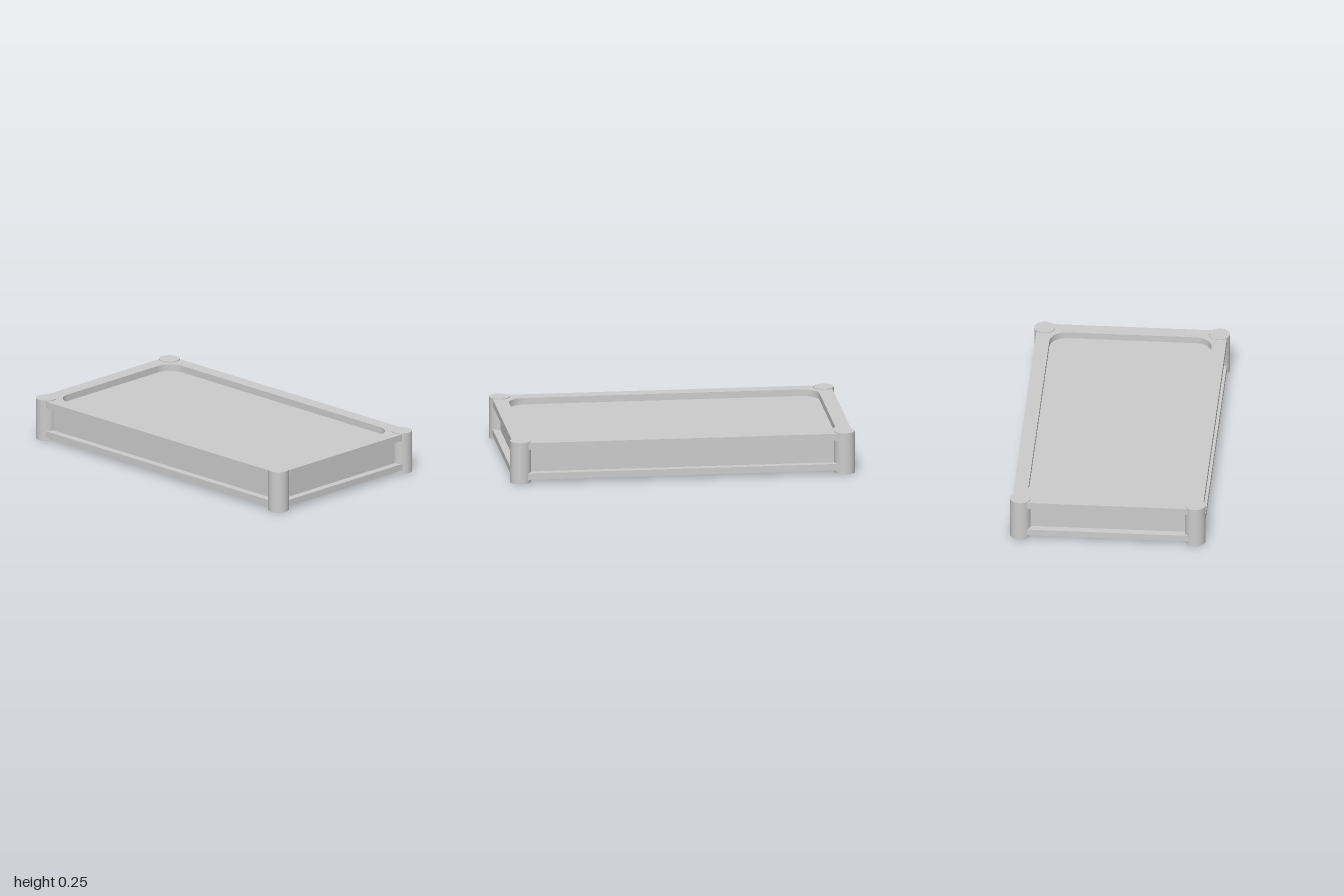
import * as THREE from 'three';

const material = new THREE.MeshStandardMaterial({ color: 0xcccccc });

// Rounded rectangle centred on the origin, given half sizes and corner radius
function roundedRect(target, hx, hy, r) {
  target.moveTo(-hx + r, -hy);
  target.lineTo(hx - r, -hy);
  target.absarc(hx - r, -hy + r, r, -Math.PI / 2, 0);
  target.lineTo(hx, hy - r);
  target.absarc(hx - r, hy - r, r, 0, Math.PI / 2);
  target.lineTo(-hx + r, hy);
  target.absarc(-hx + r, hy - r, r, Math.PI / 2, Math.PI);
  target.lineTo(-hx, -hy + r);
  target.absarc(-hx + r, -hy + r, r, Math.PI, Math.PI * 1.5);
  return target;
}

export function createModel() {
  const group = new THREE.Group();

  function add(name, geometry, x, y, z) {
    const mesh = new THREE.Mesh(geometry, material);
    mesh.name = name;
    mesh.position.set(x, y, z);
    group.add(mesh);
  }

  function box(name, x0, x1, y0, y1, z0, z1) {
    add(name, new THREE.BoxGeometry(x1 - x0, y1 - y0, z1 - z0),
      (x0 + x1) / 2, (y0 + y1) / 2, (z0 + z1) / 2);
  }

  const legX = 0.94, legZ = 0.505;

  // Raised rim around the tray
  const outline = roundedRect(new THREE.Shape(), 0.985, 0.55, 0.1);
  outline.holes.push(roundedRect(new THREE.Path(), 0.9, 0.468, 0.1));
  const rim = new THREE.ExtrudeGeometry(outline, { depth: 0.04, bevelEnabled: false, curveSegments: 12 });
  rim.rotateX(-Math.PI / 2);
  add('rim', rim, 0, 0.2, 0);

  // Thin tray floor, seen through the rim opening
  box('trayFloor', -0.93, 0.93, 0.19, 0.201, -0.495, 0.495);

  // Round corner legs
  const leg = new THREE.CylinderGeometry(0.06, 0.06, 0.245, 40);
  for (const sx of [-1, 1]) {
    for (const sz of [-1, 1]) add('leg', leg, sx * legX, 0.1225, sz * legZ);
  }

  for (const s of [-1, 1]) {
    const span = (a, b) => (s > 0 ? [a, b] : [-b, -a]);
    // Recessed wall panels between the legs
    box('longWall', -legX, legX, 0.04, 0.2, ...span(0.485, 0.507));
    box('shortWall', ...span(0.92, 0.942), 0.04, 0.2, -legZ, legZ);
    // Projecting lower rails
    box('longRail', -0.915, 0.915, 0.022, 0.06, ...span(0.48, 0.55));
    box('shortRail', ...span(0.915, 0.985), 0.022, 0.06, -0.48, 0.48);
  }

  return group;
}
